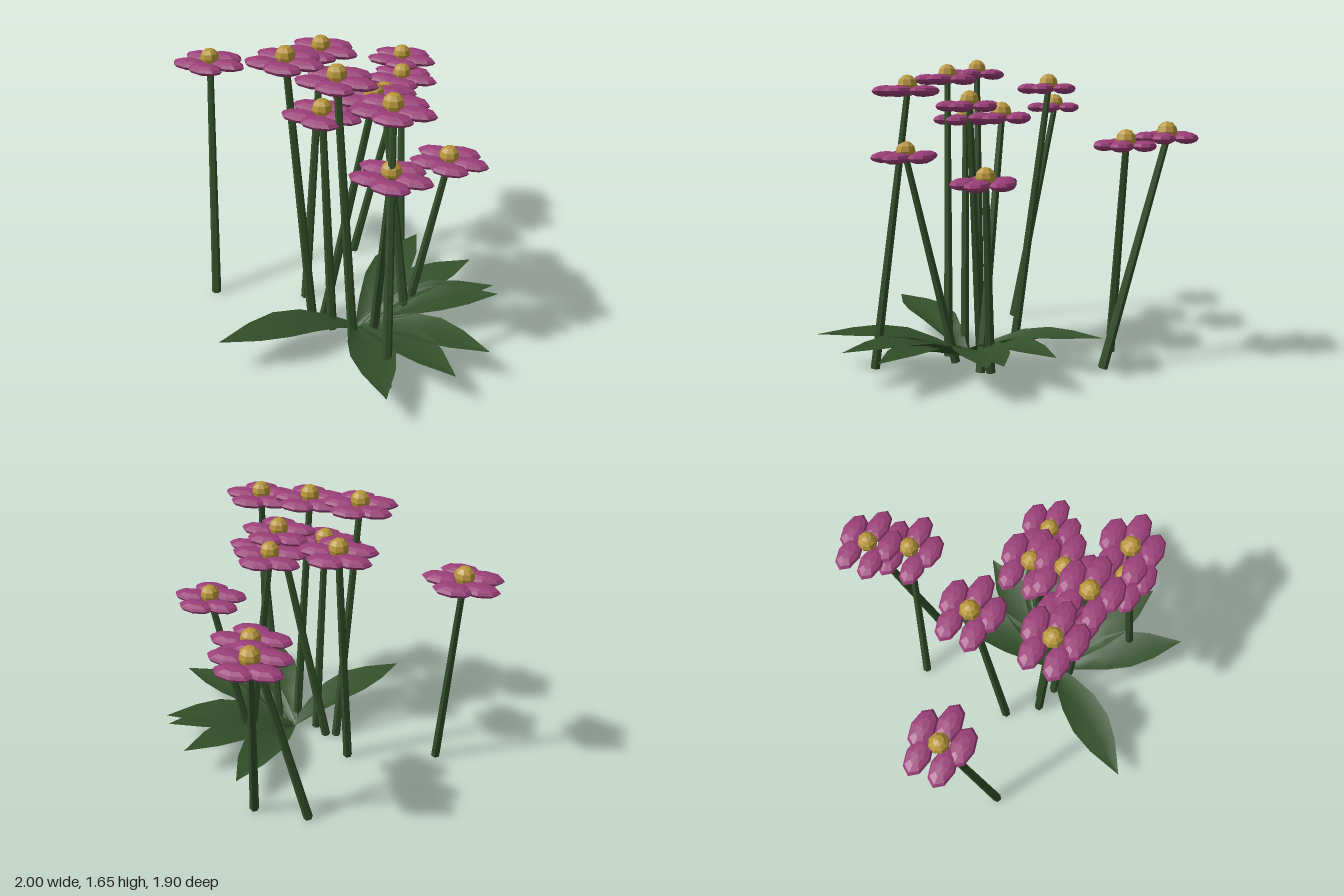
import * as THREE from 'three';

const petalMat = new THREE.MeshStandardMaterial({ color: 0x9a3f78, flatShading: true });
petalMat.name = 'petal magenta';
const centreMat = new THREE.MeshStandardMaterial({ color: 0xb8963a, flatShading: true });
centreMat.name = 'pollen gold';
const greenMat = new THREE.MeshStandardMaterial({ color: 0x33502a, side: THREE.DoubleSide });
greenMat.name = 'leaf green';

// Each flower: head x, y, z, then stem foot x, z
const FLOWERS = [
  [-0.80, 1.37, 0.06, -0.71, 0.31],
  [-0.18, 1.49, -0.08, -0.20, 0.13],
  [-0.165, 1.57, 0.345, -0.07, 0.30],
  [0.02, 1.24, -0.785, 0.165, -0.49],
  [0.10, 1.20, -0.585, -0.15, -0.46],
  [0.245, 1.34, 0.05, 0.43, 0.11],
  [0.60, 1.03, 0.01, 0.41, 0.06],
  [0.26, 1.40, 0.225, -0.01, 0.28],
  [0.14, 1.54, 0.40, 0.22, 0.38],
  [0.465, 1.48, 0.485, 0.54, 0.67],
  [0.47, 1.14, 0.50, 0.31, 0.30],
  [0.03, 1.32, 0.34, 0.075, 0.34],
];

// Leaf tips on the ground plan, spread from a common crown
const CROWN = [0.21, 0.28];
const LEAF_TIPS = [
  [0.26, -0.51], [0.65, -0.37], [0.85, -0.17], [0.90, -0.10],
  [1.00, 0.41], [0.90, 0.66], [0.65, 0.95], [-0.30, 0.92],
];

const petalGeo = new THREE.SphereGeometry(1, 8, 6).scale(0.107, 0.03, 0.062);
const centreGeo = new THREE.SphereGeometry(0.054, 8, 6);

function mesh(name, geo, mat) {
  const m = new THREE.Mesh(geo, mat);
  m.name = name;
  return m;
}

// Tapered stem between two points
function makeStem(foot, top) {
  const dir = top.clone().sub(foot);
  const m = mesh('stem', new THREE.CylinderGeometry(0.018, 0.027, dir.length(), 6).toNonIndexed(), greenMat);
  m.geometry.computeVertexNormals();
  m.position.copy(foot).addScaledVector(dir, 0.5);
  m.quaternion.setFromUnitVectors(new THREE.Vector3(0, 1, 0), dir.normalize());
  return m;
}

// Five petals, all lengthwise along x, around a golden centre
function makeHead() {
  const head = new THREE.Group();
  head.name = 'flowerHead';
  for (let i = 0; i < 5; i++) {
    const a = (i / 5) * Math.PI * 2;
    const petal = mesh('petal', petalGeo, petalMat);
    petal.position.set(Math.cos(a) * 0.11, 0, Math.sin(a) * 0.11);
    head.add(petal);
  }
  const centre = mesh('flowerCentre', centreGeo, centreMat);
  centre.position.y = 0.03;
  head.add(centre);
  return head;
}

// Folded leaf along +x: distance, half width, midrib height, edge height
function makeLeafGeometry() {
  const rows = [
    [0, 0.02, 0.01, 0.03],
    [0.15, 0.07, 0.065, 0.11],
    [0.3, 0.11, 0.12, 0.17],
    [0.45, 0.12, 0.165, 0.195],
    [0.6, 0.085, 0.188, 0.2],
    [0.79, 0.001, 0.2, 0.2],
  ];
  const pos = [], index = [];
  rows.forEach(([d, w, mid, edge], i) => {
    pos.push(d, edge, -w, d, mid, 0, d, edge, w);
    if (i === 0) return;
    for (let k = 0; k < 2; k++) {
      const a = (i - 1) * 3 + k, b = a + 3;
      index.push(a, a + 1, b, a + 1, b + 1, b);
    }
  });
  const geo = new THREE.BufferGeometry();
  geo.setAttribute('position', new THREE.Float32BufferAttribute(pos, 3));
  geo.setIndex(index);
  geo.computeVertexNormals();
  return geo;
}

export function createModel() {
  const model = new THREE.Group();
  model.name = 'flowerClump';

  // Flowers
  for (const [x, y, z, fx, fz] of FLOWERS) {
    const flower = new THREE.Group();
    flower.name = 'flower';
    const top = new THREE.Vector3(x, y, z);
    const head = makeHead();
    head.position.copy(top);
    flower.add(makeStem(new THREE.Vector3(fx, 0.008, fz), top), head);
    model.add(flower);
  }

  // Leaf rosette
  const rosette = new THREE.Group();
  rosette.name = 'leafRosette';
  const leafGeo = makeLeafGeometry();
  for (const [x, z] of LEAF_TIPS) {
    const dx = x - CROWN[0], dz = z - CROWN[1];
    const leaf = mesh('leaf', leafGeo, greenMat);
    leaf.rotation.y = -Math.atan2(dz, dx);
    leaf.scale.x = Math.hypot(dx, dz) / 0.79;
    rosette.add(leaf);
  }
  rosette.position.set(CROWN[0], 0, CROWN[1]);
  model.add(rosette);
  return model;
}
